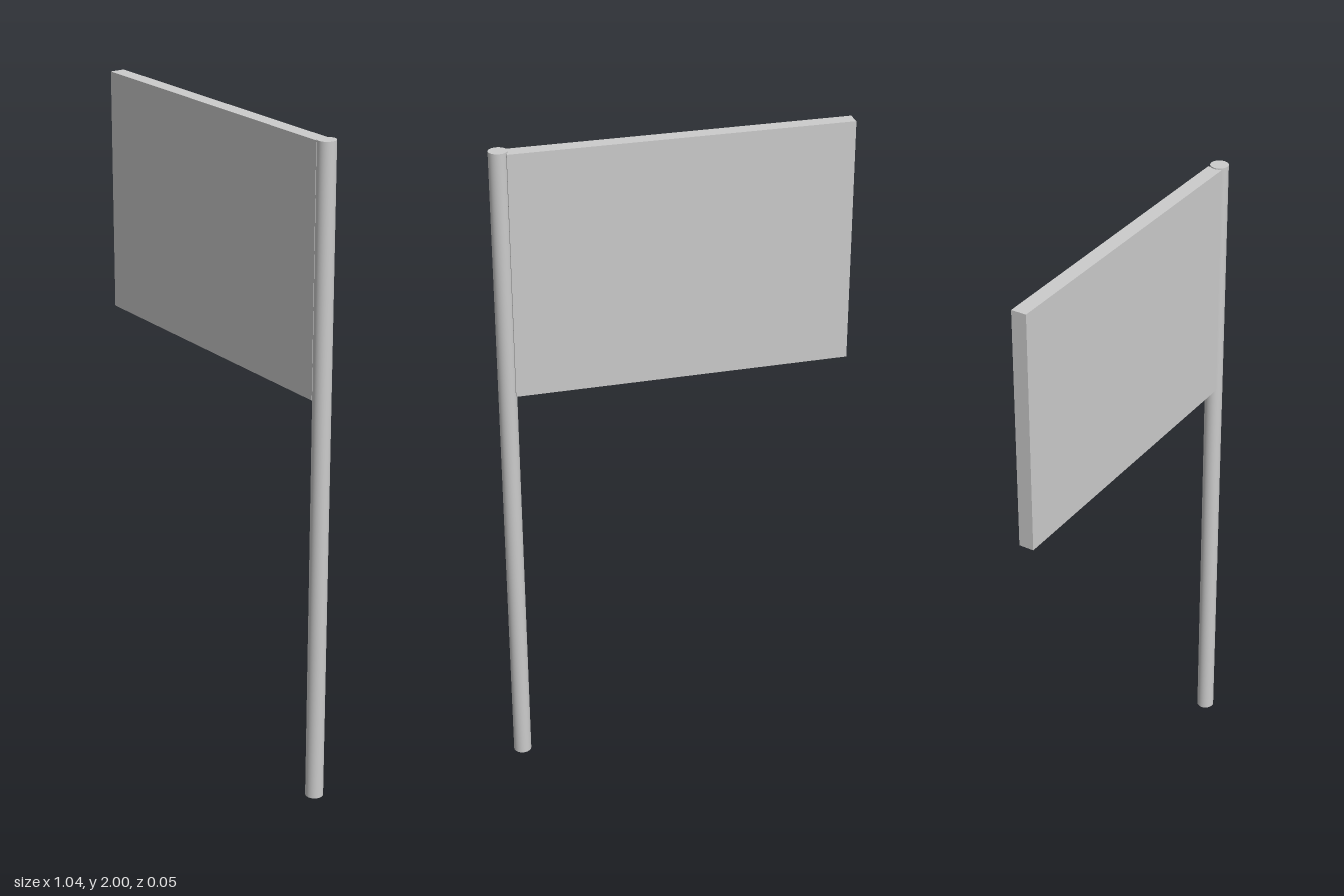
import * as THREE from 'three';

export function createModel() {
  const group = new THREE.Group();
  const material = new THREE.MeshStandardMaterial({ color: 0xcccccc });

  // Upright round pole
  const poleRadius = 0.027;
  const pole = new THREE.Mesh(new THREE.CylinderGeometry(poleRadius, poleRadius, 2, 32), material);
  pole.name = 'pole';
  pole.position.set(0.495, 1, 0);
  group.add(pole);

  // Flat flag panel, its inner edge sunk slightly into the pole
  const left = -0.522, right = 0.475, bottom = 1.259, top = 1.996, back = -0.026, front = 0.02;
  const flag = new THREE.Mesh(new THREE.BoxGeometry(right - left, top - bottom, front - back), material);
  flag.name = 'flag';
  flag.position.set((left + right) / 2, (bottom + top) / 2, (back + front) / 2);
  group.add(flag);

  return group;
}
